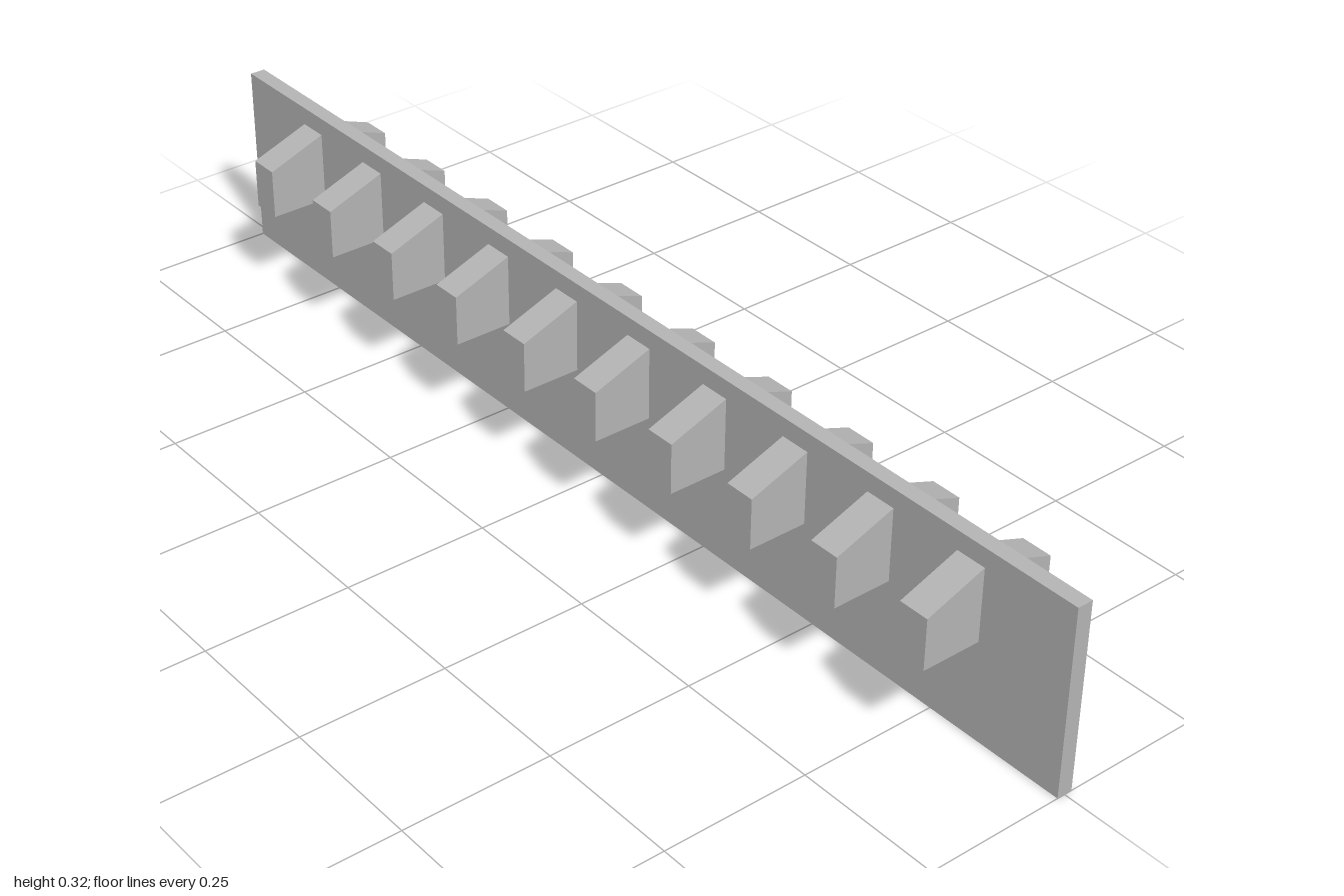
import * as THREE from 'three';

const HEIGHT = 0.323, HALF_THICK = 0.0135;
const PEG_COUNT = 10, PEG_WIDTH = 0.053, PEG_REACH = 0.117, PEG_END_X = 0.805;

// Side profile of a peg (outward, up), extruded across its width, facing +z
function pegGeometry() {
  const profile = new THREE.Shape([
    new THREE.Vector2(HALF_THICK, 0.166),
    new THREE.Vector2(PEG_REACH, 0.166),
    new THREE.Vector2(PEG_REACH, 0.253),
    new THREE.Vector2(HALF_THICK, 0.291),
  ]);
  return new THREE.ExtrudeGeometry(profile, { depth: PEG_WIDTH, bevelEnabled: false })
    .translate(0, 0, -PEG_WIDTH / 2)
    .rotateY(-Math.PI / 2);
}

export function createModel() {
  const group = new THREE.Group();
  group.name = 'peggedPanel';
  const grey = new THREE.MeshStandardMaterial({ color: 0xb4b4b4 });
  grey.name = 'grey';

  // Upright panel
  const panel = new THREE.Mesh(new THREE.BoxGeometry(2, HEIGHT, HALF_THICK * 2), grey);
  panel.name = 'panel';
  panel.position.y = HEIGHT / 2;
  group.add(panel);

  // Evenly spaced pegs with sloping tops, on the front and the back
  const geometry = pegGeometry();
  for (let i = 0; i < PEG_COUNT; i++) {
    const x = THREE.MathUtils.lerp(-PEG_END_X, PEG_END_X, i / (PEG_COUNT - 1));
    for (const side of ['front', 'back']) {
      const peg = new THREE.Mesh(geometry, grey);
      peg.name = side + 'Peg' + (i + 1);
      peg.position.x = x;
      if (side === 'back') peg.rotation.y = Math.PI;
      group.add(peg);
    }
  }
  return group;
}
